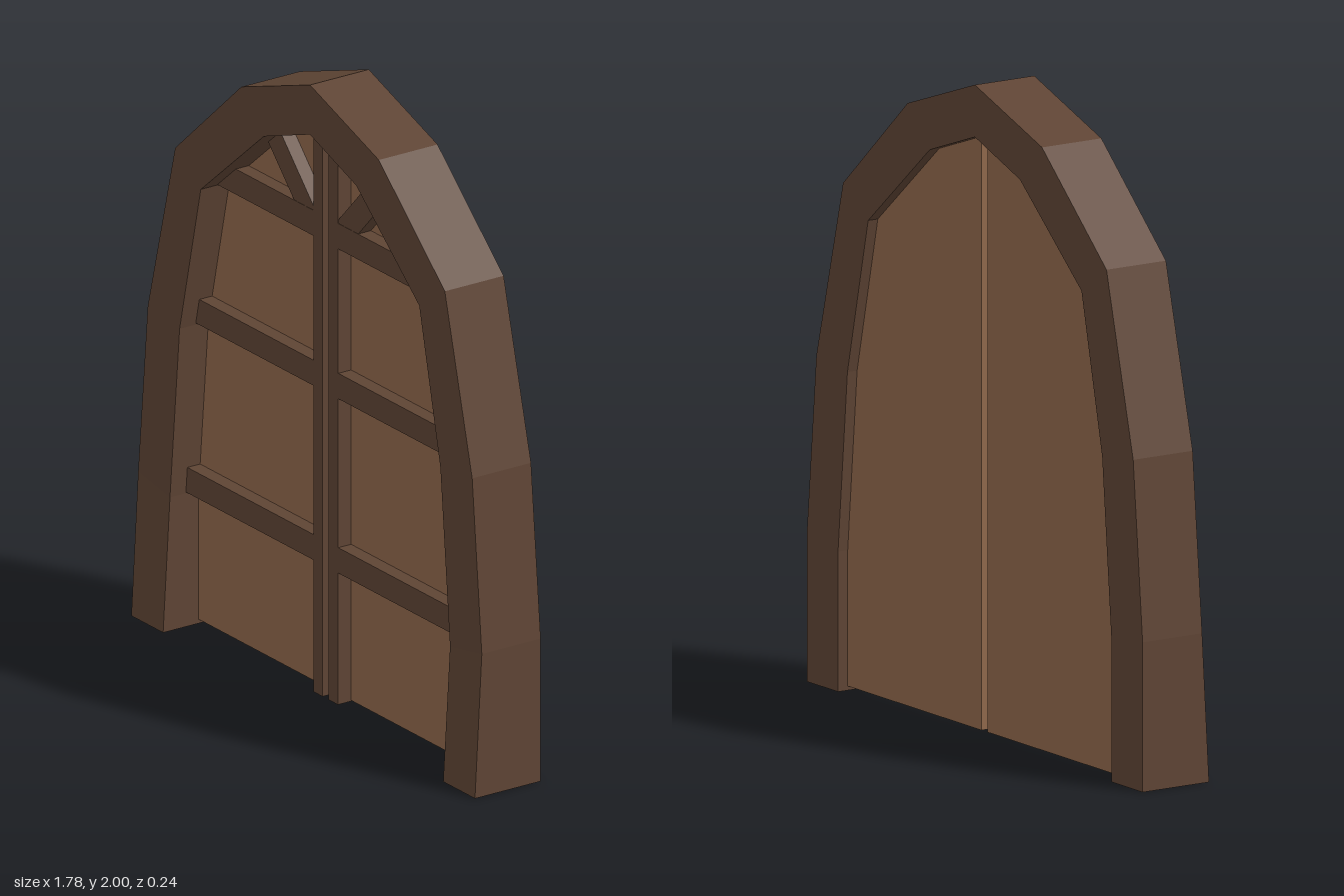
import * as THREE from 'three';

const darkWood = new THREE.MeshStandardMaterial({ color: 0x5e4434, flatShading: true });
const lightWood = new THREE.MeshStandardMaterial({ color: 0x8f674b, flatShading: true });

const BACK = -0.12, FRONT = 0.095, FOOT = 0.12;
const PANEL_BACK = -0.085, PANEL_FRONT = -0.01, BAR_FRONT = 0.038;

// Half of the arch from foot to apex: outer x, y, inner x, y
const half = [
  [0.892, 0, 0.727, 0],
  [0.892, 0.46, 0.727, 0.43],
  [0.842, 1.01, 0.677, 0.99],
  [0.7, 1.566, 0.567, 1.476],
  [0.357, 1.876, 0.24, 1.755],
  [0, 2, 0, 1.84],
];

// Arch frame: a four-cornered section swept from the left foot to the right
function archGeometry() {
  const mirrored = half.slice(0, -1).reverse().map(([ox, oy, ix, iy]) => [-ox, oy, -ix, iy]);
  const sections = [...half, ...mirrored];
  const positions = [], indices = [];
  for (const [ox, oy, ix, iy] of sections) {
    const front = oy === 0 ? FOOT : FRONT; // the feet flare forward
    positions.push(ox, oy, front, ix, iy, front, ix, iy, BACK, ox, oy, BACK);
  }
  for (let i = 0; i < sections.length - 1; i++) {
    for (let k = 0; k < 4; k++) {
      const a = i * 4 + k, b = i * 4 + ((k + 1) % 4);
      indices.push(a, a + 4, b, b, a + 4, b + 4);
    }
  }
  const e = (sections.length - 1) * 4;
  indices.push(0, 1, 2, 0, 2, 3, e, e + 2, e + 1, e, e + 3, e + 2);
  const indexed = new THREE.BufferGeometry();
  indexed.setAttribute('position', new THREE.Float32BufferAttribute(positions, 3));
  indexed.setIndex(indices);
  const geometry = indexed.toNonIndexed();
  geometry.computeVertexNormals();
  return geometry;
}

function addMesh(parent, name, geometry, material) {
  const mesh = new THREE.Mesh(geometry, material);
  mesh.name = name;
  parent.add(mesh);
  return mesh;
}

// Raised bar on the door face between two points of its centre line
function addBar(parent, name, x0, y0, x1, y1, width, front = BAR_FRONT) {
  const back = PANEL_FRONT - 0.01;
  const length = Math.hypot(x1 - x0, y1 - y0);
  const bar = addMesh(parent, name, new THREE.BoxGeometry(length, width, front - back), darkWood);
  bar.position.set((x0 + x1) / 2, (y0 + y1) / 2, (front + back) / 2);
  bar.rotation.z = Math.atan2(y1 - y0, x1 - x0);
}

// One door leaf; side is +1 for left, -1 for right
function createDoor(side) {
  const door = new THREE.Group();
  door.name = side > 0 ? 'leftDoor' : 'rightDoor';

  // Panel, let slightly into the frame
  const tuck = 0.012, gap = 0.016;
  const outline = [[gap, 0.013]];
  for (const [, , x, y] of half) {
    outline.push([x === 0 ? gap : x + tuck, y === 0 ? 0.013 : y + tuck * 0.5]);
  }
  const shape = new THREE.Shape(outline.map(([x, y]) => new THREE.Vector2(x * side, y)));
  const panel = new THREE.ExtrudeGeometry(shape, { depth: PANEL_FRONT - PANEL_BACK, bevelEnabled: false });
  panel.translate(0, 0, PANEL_BACK);
  addMesh(door, 'doorPanel', panel, lightWood);

  // Upright beside the gap, three rails and the diagonal brace
  addBar(door, 'doorUpright', side * 0.04, 0.01, side * 0.04, 1.845, 0.048);
  for (const [y, end] of [[0.475, 0.74], [1.037, 0.69], [1.52, 0.57]]) {
    addBar(door, 'doorRail', side * 0.05, y, side * end, y, 0.082, BAR_FRONT - 0.001);
  }
  addBar(door, 'doorBrace', side * 0.09, 1.54, side * 0.29, 1.752, 0.083, BAR_FRONT - 0.002);
  return door;
}

export function createModel() {
  const model = new THREE.Group();
  model.name = 'archedDoubleDoor';
  addMesh(model, 'archFrame', archGeometry(), darkWood);
  model.add(createDoor(1), createDoor(-1));
  return model;
}
